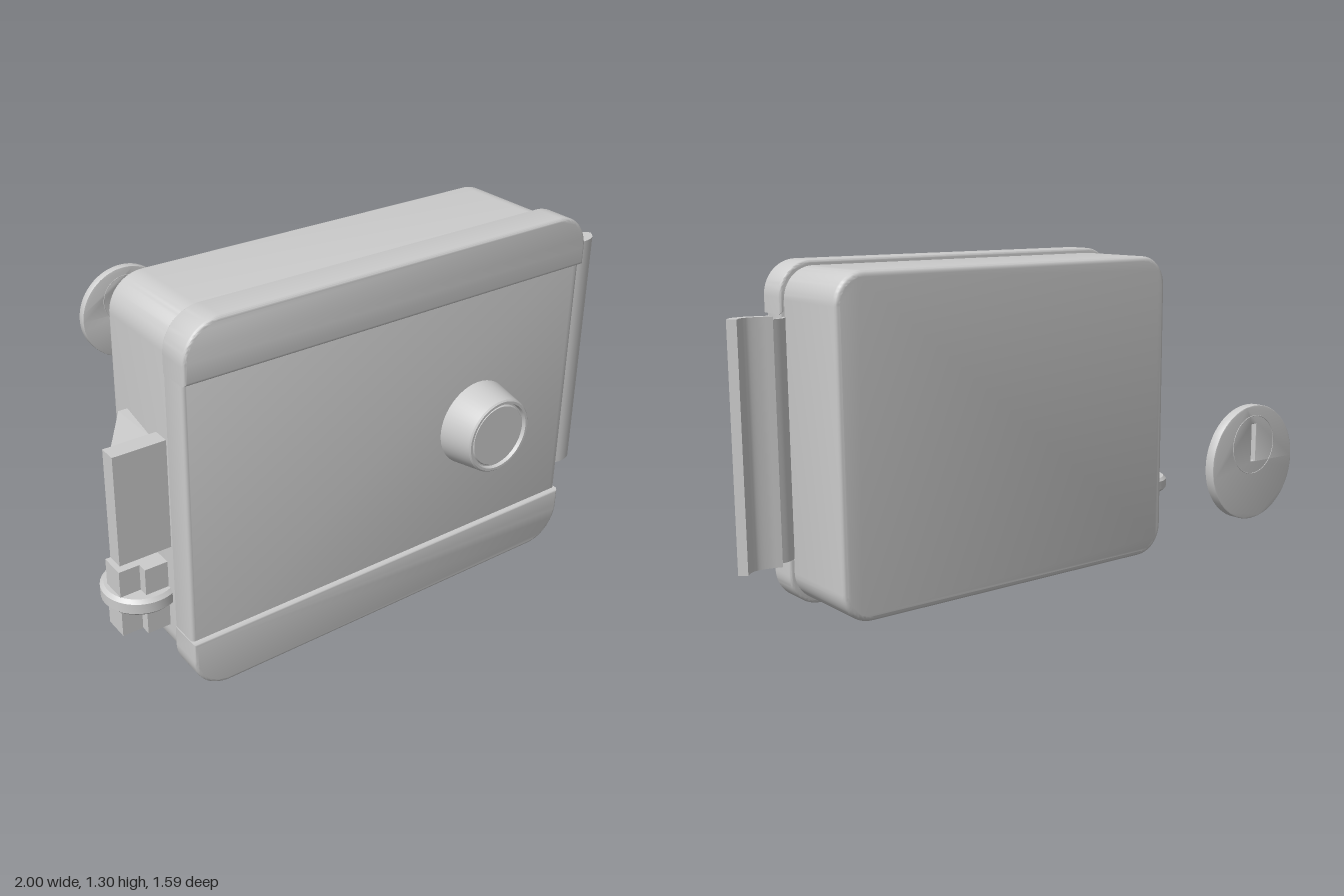
import * as THREE from 'three';
import { toCreasedNormals } from 'three/addons/utils/BufferGeometryUtils.js';

const material = new THREE.MeshStandardMaterial({ color: 0xcccccc });
const thin = new THREE.MeshStandardMaterial({ color: 0xcccccc, side: THREE.DoubleSide });

function add(parent, name, geometry, mat = material) {
  const mesh = new THREE.Mesh(geometry, mat);
  mesh.name = name;
  parent.add(mesh);
  return mesh;
}

// Rectangle with a radius for the bottom corners and one for the top corners
function roundedRect(x0, x1, y0, y1, rBottom, rTop) {
  const s = new THREE.Shape();
  const q = Math.PI / 2;
  const corner = (x, y, r, a) => (r > 0 ? s.absarc(x, y, r, a, a + q, false) : s.lineTo(x, y));
  s.moveTo(x0 + rBottom, y0);
  corner(x1 - rBottom, y0 + rBottom, rBottom, -q);
  corner(x1 - rTop, y1 - rTop, rTop, 0);
  corner(x0 + rTop, y1 - rTop, rTop, q);
  corner(x0 + rBottom, y0 + rBottom, rBottom, 2 * q);
  return s;
}

// Extrude from z0 to z1 with edges rounded inside the outline
function slab(shape, z0, z1, bevel, segments = 4) {
  const g = new THREE.ExtrudeGeometry(shape, {
    depth: z1 - z0 - 2 * bevel, curveSegments: 10, bevelEnabled: bevel > 0,
    bevelThickness: bevel, bevelSize: bevel, bevelOffset: -bevel, bevelSegments: segments,
  });
  g.translate(0, 0, z0 + bevel);
  return toCreasedNormals(g, 0.6);
}

// Extrude a plan outline given as [x, z] points from y0 up to y1
function planPrism(shape, y0, y1) {
  const g = new THREE.ExtrudeGeometry(shape, { depth: y1 - y0, bevelEnabled: false, curveSegments: 12 });
  g.rotateX(Math.PI / 2); // shape y becomes z, depth runs downward
  g.translate(0, y1, 0);
  return g;
}
const outline = (points) => new THREE.Shape(points.map(([x, z]) => new THREE.Vector2(x, z)));
const smooth = (points) =>
  new THREE.CatmullRomCurve3(points.map(([x, z]) => new THREE.Vector3(x, z, 0)))
    .getPoints(18).map((p) => [p.x, p.y]);

function makeKnob() {
  const profile = [[0, 0.118], [0.108, 0.118], [0.112, 0.112], [0.117, 0.112], [0.12, 0.125],
    [0.129, 0.125], [0.134, 0.12], [0.155, 0.003], [0.155, 0]];
  const g = new THREE.LatheGeometry(
    profile.reverse().map(([r, h]) => new THREE.Vector2(r, h)), 48);
  g.rotateX(Math.PI / 2);
  return toCreasedNormals(g.toNonIndexed(), 0.5);
}

export function createModel() {
  const lock = new THREE.Group();
  lock.name = 'rimLock';

  // Case and front cover with its two raised end bands
  add(lock, 'caseBody', slab(roundedRect(-0.818, 0.742, 0.02, 1.28, 0.12, 0.12), 0.205, 0.58, 0.02));
  add(lock, 'coverPanel', slab(roundedRect(-0.832, 0.757, 0.12, 1.18, 0.03, 0.03), 0.565, 0.672, 0.012));
  add(lock, 'lowerBand', slab(roundedRect(-0.835, 0.76, 0, 0.197, 0.13, 0), 0.565, 0.69, 0.012));
  add(lock, 'upperBand', slab(roundedRect(-0.835, 0.76, 1.108, 1.3, 0, 0.13), 0.565, 0.69, 0.012));

  // Turn knob
  add(lock, 'knob', makeKnob()).position.set(0.32, 0.62, 0.67);

  // Strike flange: thin curled web and a thicker wavy grip
  const flange = new THREE.Group();
  flange.name = 'sideFlange';
  lock.add(flange);
  const webOuter = smooth([[0.742, 0.575], [0.752, 0.54], [0.78, 0.515], [0.835, 0.506]]);
  const webInner = smooth([[0.752, 0.575], [0.762, 0.545], [0.785, 0.524], [0.835, 0.516]]);
  add(flange, 'flangeWeb',
    toCreasedNormals(planPrism(outline([...webOuter, ...webInner.reverse()]), 0.205, 1.1), 0.6), thin);
  const gripBack = smooth([[0.825, 0.494], [0.87, 0.508], [0.92, 0.513], [0.95, 0.5], [0.973, 0.474]]);
  const gripFront = smooth([[1, 0.5], [0.97, 0.535], [0.92, 0.549], [0.87, 0.54], [0.825, 0.528]]);
  add(flange, 'flangeGrip',
    toCreasedNormals(planPrism(outline([...gripBack, ...gripFront]), 0.195, 1.112), 0.6));

  // Latch bolt: flat plate and a wedge that narrows toward it
  const bolt = new THREE.Group();
  bolt.name = 'latchBolt';
  lock.add(bolt);
  const plate = add(bolt, 'boltPlate', new THREE.BoxGeometry(0.19, 0.385, 0.06));
  plate.position.set(-0.905, 0.672, 0.51);
  const wedge = planPrism(
    outline([[-0.81, 0.3], [-0.85, 0.3], [-0.97, 0.46], [-0.97, 0.485], [-0.81, 0.485]]), -0.192, 0.192);
  const p = wedge.attributes.position;
  for (let i = 0; i < p.count; i++) if (p.getZ(i) > 0.4) p.setY(i, p.getY(i) * 0.78);
  wedge.computeVertexNormals();
  add(bolt, 'boltWedge', wedge).position.y = 0.672;

  // Small roller catch: disc on a notched post
  const catchGroup = new THREE.Group();
  catchGroup.name = 'rollerCatch';
  lock.add(catchGroup);
  const discProfile = [[0, -0.03], [0.118, -0.03], [0.13, -0.018], [0.13, 0.018], [0.118, 0.03], [0, 0.03]];
  const disc = new THREE.LatheGeometry(discProfile.map(([r, h]) => new THREE.Vector2(r, h)), 40);
  add(catchGroup, 'rollerDisc', toCreasedNormals(disc.toNonIndexed(), 0.5)).position.set(-0.87, 0.28, 0.415);
  add(catchGroup, 'rollerPost', planPrism(outline([[-0.81, 0.35], [-0.9, 0.35], [-0.9, 0.385],
    [-0.973, 0.385], [-0.973, 0.475], [-0.9, 0.475], [-0.9, 0.51], [-0.81, 0.51]]), 0.158, 0.405));

  // Separate outside key cylinder: rosette, flush plug with a keyway
  const key = new THREE.Group();
  key.name = 'keyCylinder';
  key.position.set(-0.26, 0.655, 0);
  lock.add(key);
  const rosette = new THREE.Shape().absarc(0, 0, 0.193, 0, Math.PI * 2, false);
  rosette.holes.push(new THREE.Path([[-0.01, 0.005], [-0.01, 0.13], [0.01, 0.13], [0.01, 0.005]]
    .map(([x, y]) => new THREE.Vector2(x, y))));
  const rosetteGeometry = new THREE.ExtrudeGeometry(rosette, {
    depth: 0.029, curveSegments: 32, bevelThickness: 0.003, bevelSize: 0.003, bevelOffset: -0.003, bevelSegments: 2,
  });
  rosetteGeometry.translate(0, 0, -0.787);
  add(key, 'rosette', toCreasedNormals(rosetteGeometry, 0.5));
  add(key, 'keywayFloor', new THREE.BoxGeometry(0.03, 0.135, 0.01)).position.set(0, 0.0675, -0.762);
  const ring = new THREE.TorusGeometry(0.098, 0.0015, 6, 48);
  for (const z of [-0.79, -0.755]) add(key, 'plugRing', ring).position.set(0, 0.06, z);

  return lock;
}
